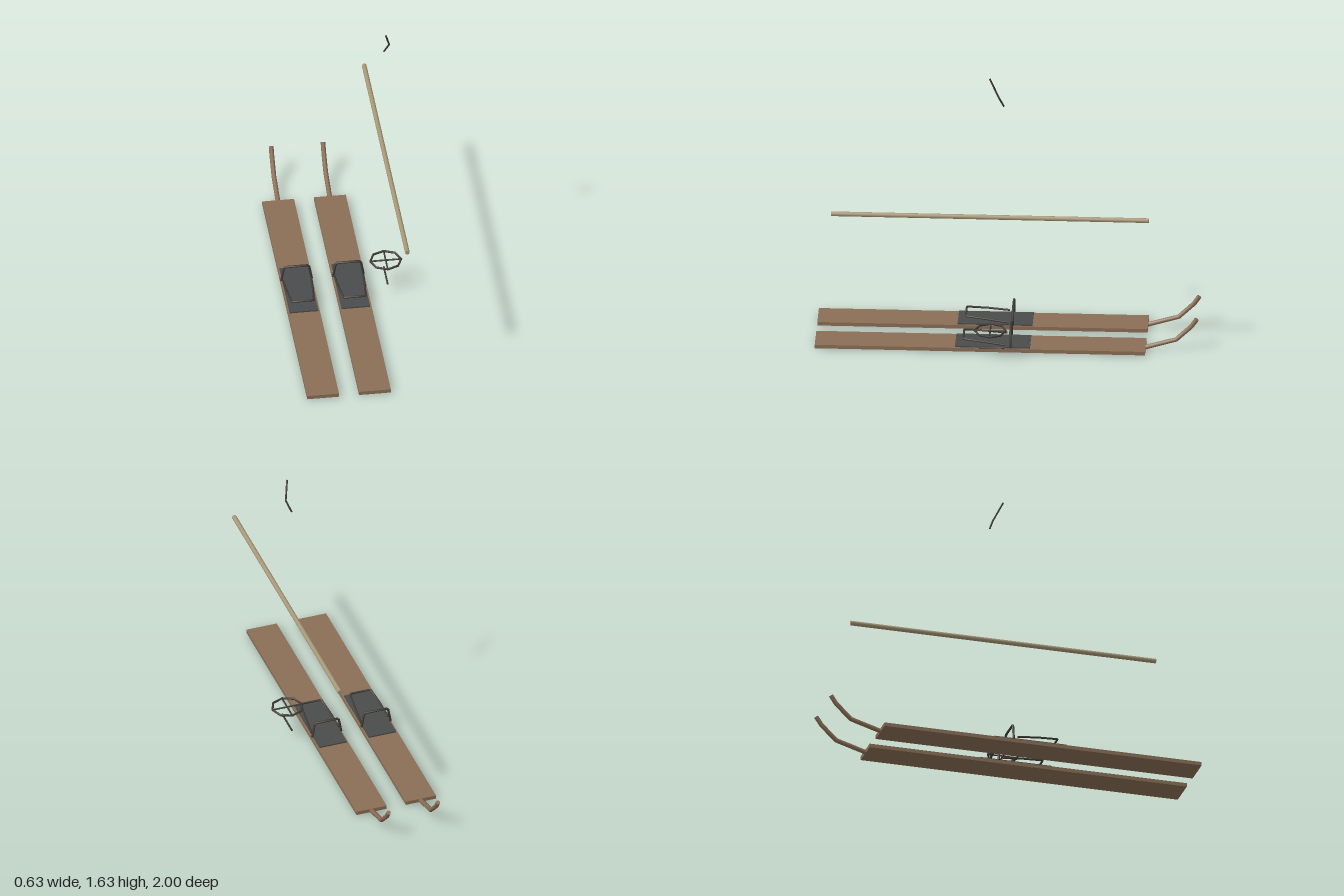
import * as THREE from 'three';
import { mergeGeometries } from 'three/addons/utils/BufferGeometryUtils.js';

const V = (x, y, z) => new THREE.Vector3(x, y, z);
const mat = (name, color) => {
  const m = new THREE.MeshStandardMaterial({ color });
  m.name = name;
  return m;
};

// Straight-segment path with mitred joints
class Polyline extends THREE.Curve {
  constructor(points) {
    super();
    this.points = points;
    this.n = points.length - 1;
  }
  getPoint(t, target = new THREE.Vector3()) {
    const i = Math.min(Math.floor(t * this.n + 1e-6), this.n - 1);
    return target.lerpVectors(this.points[i], this.points[i + 1], t * this.n - i);
  }
  getPointAt(u, target) { return this.getPoint(u, target); }
  getTangentAt(u, target = new THREE.Vector3()) {
    const k = Math.round(u * this.n);
    const dir = i => this.points[i + 1].clone().sub(this.points[i]).normalize();
    target.set(0, 0, 0);
    if (k > 0) target.add(dir(k - 1));
    if (k < this.n) target.add(dir(k));
    return target.normalize();
  }
}

// Bent rod with closed ends
function rod(points, radius, sides = 8) {
  const curve = new Polyline(points);
  const parts = [new THREE.TubeGeometry(curve, curve.n, radius, sides)];
  for (const end of [0, 1]) {
    const out = curve.getTangentAt(end).multiplyScalar(end ? 1 : -1);
    const cap = new THREE.CircleGeometry(radius, sides);
    cap.applyQuaternion(new THREE.Quaternion().setFromUnitVectors(V(0, 0, 1), out));
    cap.translate(...curve.getPoint(end).toArray());
    parts.push(cap);
  }
  return mergeGeometries(parts);
}

export function createModel() {
  const wood = mat('skiWood', 0x8b6f56);
  const tan = mat('poleWood', 0xa89878);
  const rubber = mat('footPlate', 0x4a4b4c);
  const metal = mat('darkMetal', 0x403b36);

  const model = new THREE.Group();
  model.name = 'skisAndPole';
  const add = (parent, name, geometry, material, x = 0, y = 0, z = 0) => {
    const mesh = new THREE.Mesh(geometry, material);
    mesh.name = name;
    mesh.position.set(x, y, z);
    parent.add(mesh);
    return mesh;
  };

  // Mirrors the +x half of a symmetric path to make a closed-top arch
  const arch = half => [...half, ...half.map(p => V(-p.x, p.y, p.z)).reverse()];

  for (const [name, x] of [['rightSki', -0.231], ['leftSki', 0.041]]) {
    const ski = new THREE.Group();
    ski.name = name;
    ski.position.x = x;
    model.add(ski);

    add(ski, 'board', new THREE.BoxGeometry(0.167, 0.02, 1.72), wood, 0, 0.017, 0.14);
    add(ski, 'footPlate', new THREE.BoxGeometry(0.15, 0.01, 0.39), rubber, 0, 0.029, 0.075);

    // Upturned tip
    add(ski, 'tip', rod([
      V(0, 0.015, -0.717), V(0, 0.063, -0.878), V(0, 0.14, -0.957), V(0, 0.182, -0.985),
    ], 0.0125), wood);

    // Upright toe hoop
    add(ski, 'toeHoop', rod(arch([
      V(0.08, 0.03, -0.018), V(0.067, 0.105, -0.018), V(0.058, 0.114, -0.018),
    ]), 0.0065), metal);

    // Sloping heel loop
    add(ski, 'heelLoop', rod(arch([
      V(0.075, 0.044, 0.005), V(0.068, 0.058, 0.12), V(0.058, 0.067, 0.222), V(0.05, 0.069, 0.228),
    ]), 0.0055), metal);
  }

  // Pole lying level
  add(model, 'poleShaft', rod([V(0.224, 0.835, -0.745), V(0.224, 0.835, 0.91)], 0.0125, 10), tan);

  // Octagonal basket with crossed spokes
  const basket = new THREE.Group();
  basket.name = 'basket';
  basket.position.set(0.224, 0.18, 0.081);
  model.add(basket);
  const ring = new THREE.TorusGeometry(0.081, 0.006, 6, 8).rotateX(Math.PI / 2);
  add(basket, 'basketRing', ring, metal);
  add(basket, 'crossSpoke', rod([V(-0.081, 0, 0), V(0.081, 0, 0)], 0.0045, 6), metal);
  add(basket, 'lengthSpoke', rod([V(0, 0, -0.081), V(0, 0, 0.081)], 0.0045, 6), metal);

  // Loose spike and wrist strap
  add(model, 'poleSpike', rod([V(0.224, 0.081, 0.005), V(0.224, 0.081, 0.156)], 0.005, 6), metal);
  add(model, 'wristStrap', rod([
    V(0.224, 1.634, 0.083), V(0.248, 1.538, 0.035), V(0.224, 1.478, 0.01),
  ], 0.005, 6), metal);

  return model;
}
